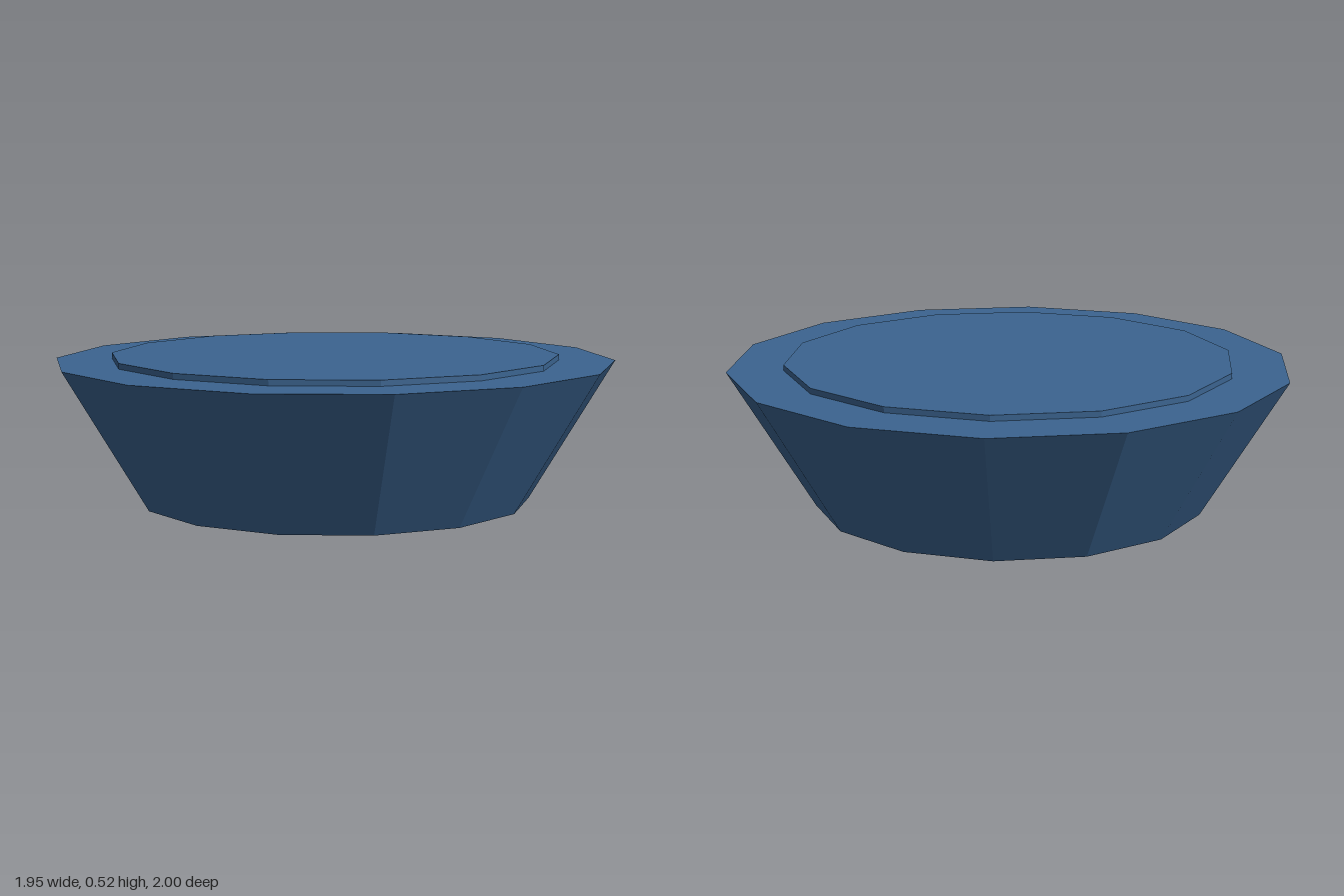
import * as THREE from 'three';

const SIDES = 14;

export function createModel() {
  const group = new THREE.Group();
  const blue = new THREE.MeshStandardMaterial({ color: 0x3b6490, flatShading: true });
  blue.name = 'blue';

  // Faceted tapered piece standing between two heights
  function addTaper(name, topRadius, bottomRadius, y0, y1) {
    const mesh = new THREE.Mesh(
      new THREE.CylinderGeometry(topRadius, bottomRadius, y1 - y0, SIDES), blue);
    mesh.position.y = (y0 + y1) / 2;
    mesh.name = name;
    group.add(mesh);
  }

  addTaper('basin', 1, 0.7, 0, 0.5);        // flared body
  addTaper('topDisc', 0.8, 0.8, 0.48, 0.52); // low raised disc

  return group;
}
